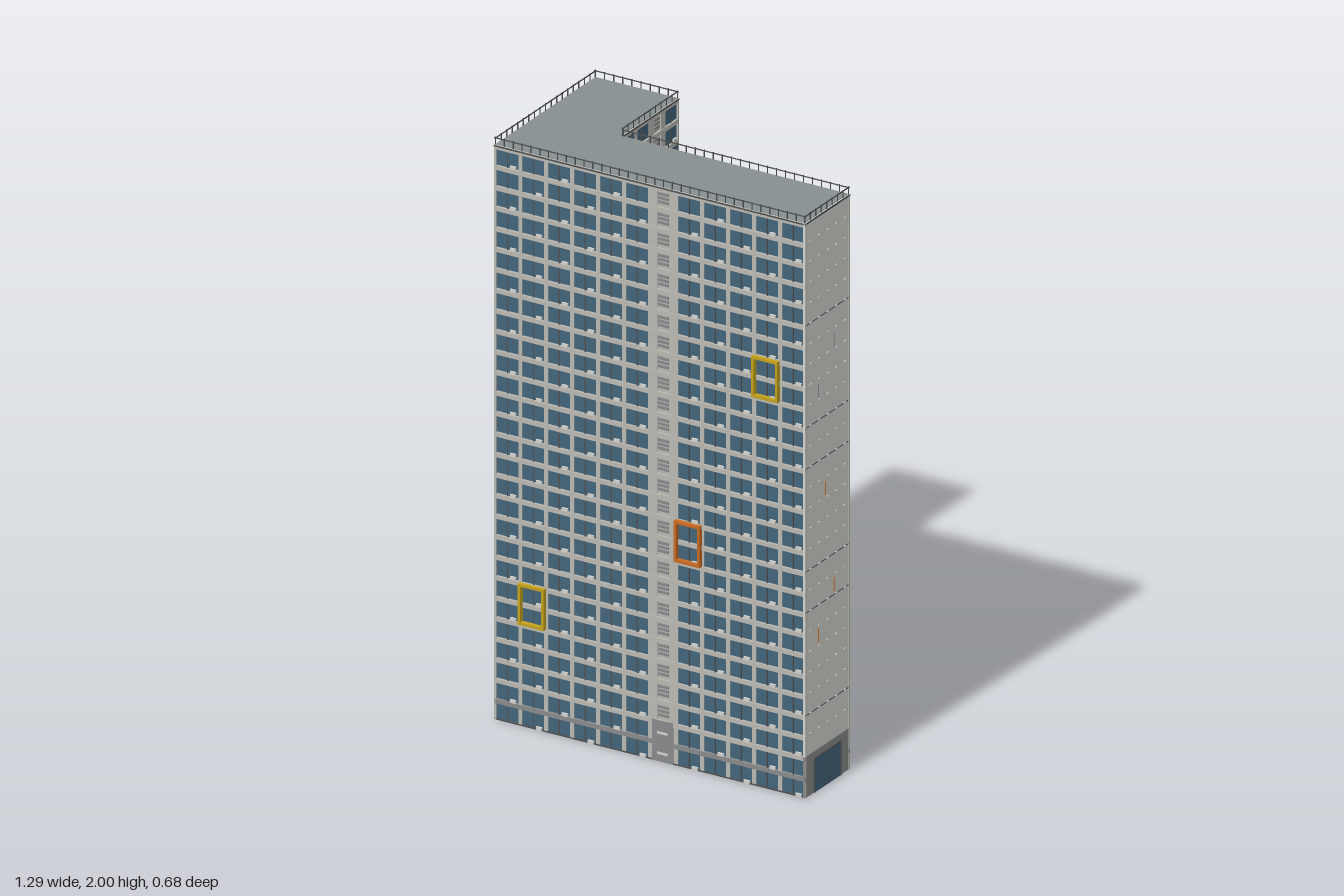
import * as THREE from 'three';
import { mergeGeometries } from 'three/addons/utils/BufferGeometryUtils.js';

const FLOORS = 28, FH = 0.0705, TOP = FLOORS * FH, INSET = 0.008;

const mat = (name, color) => {
  const m = new THREE.MeshStandardMaterial({ color });
  m.name = name;
  return m;
};

// Plan corners in the tower's own axes, counter-clockwise seen from above
const F = [-0.522, 0.161], E = [0.623, 0.161], D = [0.623, -0.107];
const C = [-0.212, -0.107], B = [-0.212, -0.443], A = [-0.522, -0.443];
const OUTLINE = [F, E, D, C, B, A];

// Facades: bays, the stair bay, and the two-storey frames as [bay, floor, colour]
const FACADES = [
  { name: 'front', from: F, to: E, bays: 12, stair: 6, frames: [[1, 5, 'yellow'], [7, 10, 'orange'], [10, 19, 'yellow']] },
  { name: 'gable', from: E, to: D },
  { name: 'back', from: D, to: C, bays: 9, stair: 4, frames: [[1, 5, 'yellow'], [5, 10, 'orange'], [7, 19, 'yellow']] },
  { name: 'wingInner', from: C, to: B, bays: 4, stair: 2, frames: [[1, 5, 'yellow'], [3, 10, 'orange'], [2, 19, 'yellow']] },
  { name: 'wingEnd', from: B, to: A, bays: 4, stair: 2, frames: [[1, 5, 'yellow'], [3, 10, 'orange'], [2, 19, 'yellow']] },
  { name: 'side', from: A, to: F, bays: 6, stair: 3, frames: [[1, 5, 'yellow'], [4, 10, 'orange'], [4, 19, 'yellow']] },
];

// Box given by its limits along the facade, in height and in depth
function block(x0, x1, y0, y1, z0, z1) {
  return new THREE.BoxGeometry(x1 - x0, y1 - y0, z1 - z0)
    .translate((x0 + x1) / 2, (y0 + y1) / 2, (z0 + z1) / 2);
}

function addPart(group, name, geos, material) {
  const mesh = new THREE.Mesh(mergeGeometries(geos), material);
  mesh.name = name;
  group.add(mesh);
}

// L-shaped plan pulled in by d, extruded upwards
function planSlab(d, y0, y1) {
  const pts = OUTLINE.map(([x, z], i) => {
    const inner = i === 3; // re-entrant corner
    const sx = inner ? 1 : x > -0.3 ? 1 : -1;
    const sz = z > 0 ? 1 : -1;
    return new THREE.Vector2(x - sx * d, -(z - sz * d));
  });
  return new THREE.ExtrudeGeometry(new THREE.Shape(pts), { depth: y1 - y0, bevelEnabled: false })
    .rotateX(-Math.PI / 2).translate(0, y0, 0);
}

function frameGeos(x0, x1, y0, y1) {
  const t = 0.009, z0 = -0.004, z1 = 0.013;
  return [
    block(x0, x0 + t, y0, y1, z0, z1), block(x1 - t, x1, y0, y1, z0, z1),
    block(x0, x1, y0, y0 + t, z0, z1), block(x0, x1, y1 - t, y1, z0, z1),
  ];
}

function windowFacade(g, f, len, M) {
  const bay = len / f.bays, w = -INSET;
  const glass = [], bands = [], piers = [], mullions = [], louvres = [], sills = [], plinth = [];

  for (let i = 0; i <= f.bays; i++) {
    const x = i * bay;
    piers.push(block(Math.max(0, x - 0.007), Math.min(len, x + 0.007), 0, TOP, w, -0.003));
  }
  for (let k = 0; k < FLOORS; k++) {
    const y = k * FH;
    // spandrel band above each storey, grey over the ground floor
    (k === 0 ? plinth : bands).push(block(0, len, y + FH - 0.015, y + FH, w, -0.001));
    for (let i = 0; i < f.bays; i++) {
      const x = i * bay, mid = x + bay / 2;
      if (i === f.stair) {
        if (k < 2) continue;
        for (let s = 0; s < 3; s++) {
          const ys = y + 0.012 + s * 0.014;
          louvres.push(block(mid - bay * 0.2, mid + bay * 0.2, ys, ys + 0.009, w, -0.004));
        }
        continue;
      }
      glass.push(block(x + 0.007, x + bay - 0.007, y + 0.002, y + FH - 0.015, w, w + 0.002));
      mullions.push(block(mid - 0.002, mid + 0.002, y, y + FH - 0.015, w, w + 0.004));
      if ((i + k) % 2) sills.push(block(mid + bay * 0.12, mid + bay * 0.34, y, y + 0.011, w, 0));
    }
  }

  // stair bay: pale wall strips, grey entrance at the foot
  const sx = f.stair * bay;
  piers.push(block(sx, sx + bay * 0.26, 0, TOP, w, -0.003));
  piers.push(block(sx + bay * 0.74, sx + bay, 0, TOP, w, -0.003));
  plinth.push(block(sx + bay * 0.1, sx + bay * 0.9, 0, FH * 2, w, 0));
  sills.push(block(sx + bay * 0.3, sx + bay * 0.7, 0.025, 0.033, w, 0.001));
  sills.push(block(sx + bay * 0.3, sx + bay * 0.7, 0.095, 0.103, w, 0.001));

  addPart(g, 'windowGlass', glass, M.glass);
  addPart(g, 'floorBands', bands, M.wall);
  addPart(g, 'piers', piers, M.wall);
  addPart(g, 'windowMullions', mullions, M.dark);
  addPart(g, 'stairLouvres', louvres, M.grey);
  addPart(g, 'windowUnits', sills, M.pale);
  addPart(g, 'entrancePlinth', plinth, M.grey);
  f.frames.forEach(([i, k, c]) =>
    addPart(g, c + 'BayFrame', frameGeos(i * bay, (i + 1) * bay, k * FH, (k + 2) * FH), M[c]));
}

function gableFacade(g, len, M) {
  const w = -INSET;
  addPart(g, 'gableWall', [block(0, len, FH * 2, TOP, w, -0.002)], M.pale);
  addPart(g, 'gableBase', [block(0, len, 0, FH * 2, w, -0.001)], M.grey);
  // glazed entrance
  const x0 = len * 0.2, x1 = len * 0.78;
  addPart(g, 'entranceGlass', [block(x0, x1, 0, 0.117, -0.003, 0.001)], M.glass);
  addPart(g, 'entranceFrame', [
    ...[x0, (x0 + x1) / 2, x1].map(x => block(x - 0.002, x + 0.002, 0, 0.117, -0.003, 0.003)),
    block(x0, x1, 0.115, 0.119, -0.003, 0.003)], M.dark);
  // expansion joints
  addPart(g, 'wallJoints', [4, 9, 11, 16, 18, 23].map(k =>
    block(0, len, k * FH - 0.0015, k * FH + 0.0015, -0.004, -0.001)), M.dark);
  // small ledges at each floor
  const ledges = [];
  for (let k = 3; k < FLOORS; k++)
    for (let i = 0; i < 5; i++) {
      const x = len * (0.12 + 0.19 * i);
      ledges.push(block(x - 0.005, x + 0.005, k * FH, k * FH + 0.003, -0.003, 0.001));
    }
  addPart(g, 'wallLedges', ledges, M.pale);
  // thin upright strips
  const strip = ([x, y]) => block(len * x - 0.0015, len * x + 0.0015, y - 0.024, y + 0.024, -0.003, 0);
  addPart(g, 'orangeStrips', [[0.45, 1.02], [0.64, 0.67], [0.3, 0.53]].map(strip), M.orange);
  addPart(g, 'greyStrips', [[0.64, 1.51], [0.3, 1.37]].map(strip), M.grey);
}

// Roof railing along one facade
function railing(g, len, M) {
  const n = Math.round(len / 0.033), geos = [];
  for (let i = 0; i <= n; i++) {
    const x = 0.004 + (len - 0.008) * i / n;
    geos.push(block(x - 0.0015, x + 0.0015, TOP, 2, -0.006, -0.003));
  }
  geos.push(block(0, len, 1.995, 1.998, -0.006, -0.003));
  addPart(g, 'roofRailing', geos, M.dark);
}

export function createModel() {
  const M = {
    wall: mat('wallGrey', 0xbab8b2),
    pale: mat('paleWall', 0xd2d2ce),
    glass: mat('blueGlass', 0x42647a),
    grey: mat('midGrey', 0x87898a),
    roof: mat('roofGrey', 0x868e90),
    dark: mat('darkGrey', 0x4c5052),
    yellow: mat('yellow', 0xc4a21c),
    orange: mat('orange', 0xc86a22),
  };
  const model = new THREE.Group();
  model.name = 'towerBlock';

  // the whole tower stands turned by twenty degrees
  const tower = new THREE.Group();
  tower.name = 'tower';
  tower.rotation.y = THREE.MathUtils.degToRad(20);
  model.add(tower);

  addPart(tower, 'body', [planSlab(INSET, 0.003, TOP - 0.004)], M.wall);
  addPart(tower, 'groundSlab', [planSlab(0.001, 0, 0.004)], M.dark);
  addPart(tower, 'roofEdge', [planSlab(0, TOP - 0.006, TOP - 0.001)], M.dark);
  addPart(tower, 'roof', [planSlab(0.006, TOP - 0.003, TOP + 0.002)], M.roof);

  for (const f of FACADES) {
    const dx = f.to[0] - f.from[0], dz = f.to[1] - f.from[1], len = Math.hypot(dx, dz);
    const g = new THREE.Group();
    g.name = f.name + 'Facade';
    g.position.set(f.from[0], 0, f.from[1]);
    g.rotation.y = Math.atan2(-dz, dx);
    if (f.bays) windowFacade(g, f, len, M);
    else gableFacade(g, len, M);
    railing(g, len, M);
    tower.add(g);
  }
  return model;
}
